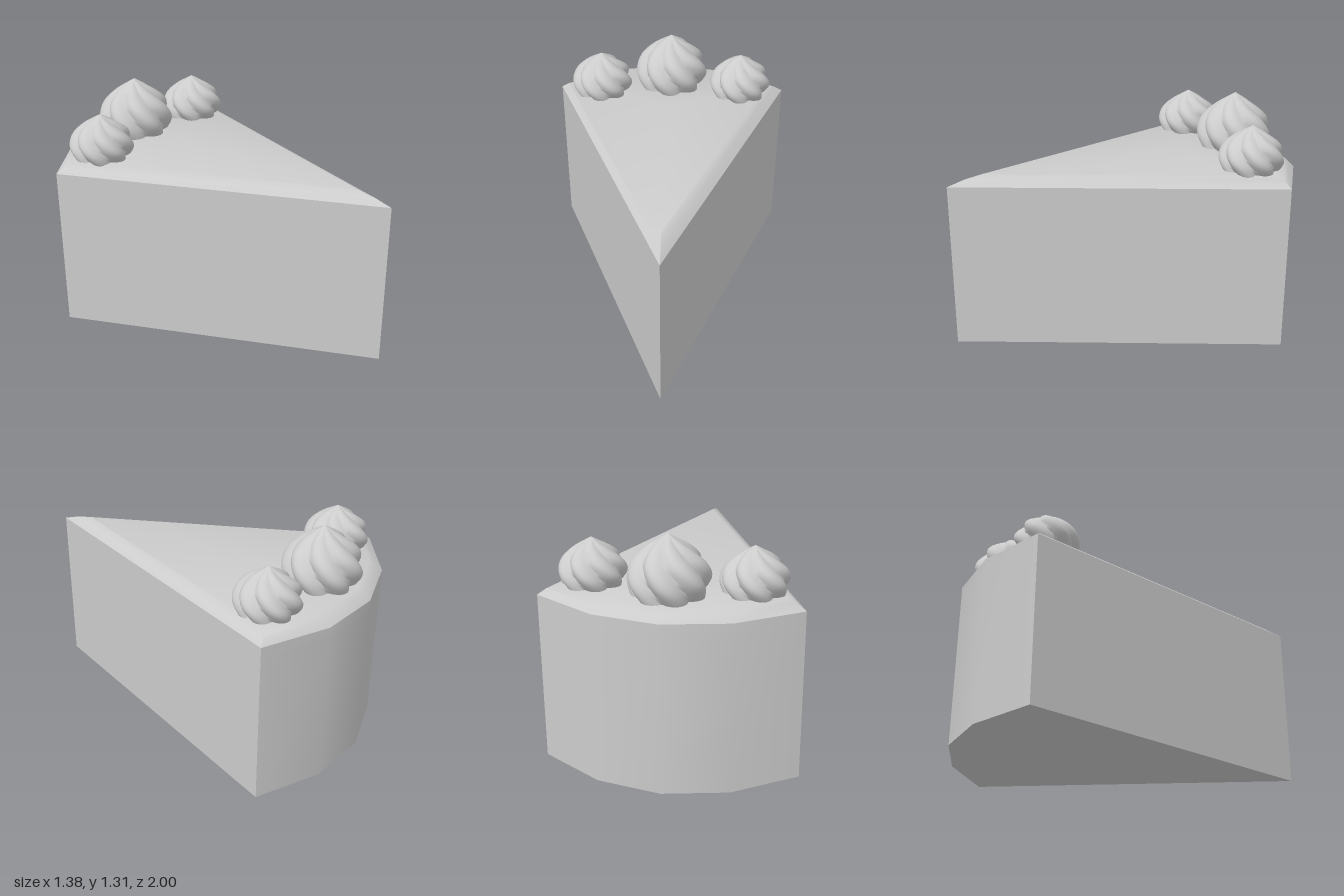
import * as THREE from 'three';
import { toCreasedNormals } from 'three/addons/utils/BufferGeometryUtils.js';

const material = new THREE.MeshStandardMaterial({ color: 0xcccccc });

// Plan of the slice as [x, z], counter-clockwise seen from above
const OUTLINE = [[0, 1], [0.69, -0.72], [0.35, -0.93], [0, -1], [-0.35, -0.93], [-0.69, -0.72]];

// Moves every edge of the outline inwards by d
function inset(d) {
  const n = OUTLINE.length;
  const normal = (a, b) => new THREE.Vector2(-(b[1] - a[1]), b[0] - a[0]).normalize();
  return OUTLINE.map((p, i) => {
    const n1 = normal(OUTLINE[(i + n - 1) % n], p);
    const n2 = normal(p, OUTLINE[(i + 1) % n]);
    const miter = n1.clone().add(n2).multiplyScalar(d / (1 + n1.dot(n2)));
    return [p[0] - miter.x, p[1] - miter.y];
  });
}

// Wedge: stacked outlines with a rounded top rim, closed by two fans
function sliceGeometry() {
  const rings = [[0, 0], [0, 0.87], [0, 0.945], [0.037, 0.977], [0.073, 0.996]];
  const n = OUTLINE.length;
  const positions = [], index = [];
  for (const [d, y] of rings) for (const [x, z] of inset(d)) positions.push(x, y, z);
  positions.push(0, 0, -0.4, 0, 1, -0.4);
  const bottom = rings.length * n, top = bottom + 1, last = (rings.length - 1) * n;
  for (let i = 0; i < n; i++) {
    const j = (i + 1) % n;
    for (let r = 0; r < rings.length - 1; r++) {
      const a = r * n + i, b = r * n + j;
      index.push(a, b, b + n, a, b + n, a + n);
    }
    index.push(bottom, j, i, top, last + i, last + j);
  }
  const geometry = new THREE.BufferGeometry();
  geometry.setAttribute('position', new THREE.Float32BufferAttribute(positions, 3));
  geometry.setIndex(index);
  return toCreasedNormals(geometry, 0.85);
}

// Piped cream: a lathed drop with seven lobes twisting towards the peak
function swirlGeometry(radius, height) {
  const curve = new THREE.SplineCurve([
    [0.88, 0], [1, 0.2], [1, 0.38], [0.86, 0.58], [0.55, 0.77], [0.25, 0.9], [0.001, 1],
  ].map(([r, y]) => new THREE.Vector2(r * radius, y * height)));
  const geometry = new THREE.LatheGeometry(curve.getPoints(18), 56);
  const pos = geometry.attributes.position;
  for (let i = 0; i < pos.count; i++) {
    const x = pos.getX(i), y = pos.getY(i), z = pos.getZ(i);
    const angle = Math.atan2(x, z) + 1.3 * (y / height);
    const lobe = 0.8 + 0.2 * Math.abs(Math.cos(3.5 * angle));
    pos.setXYZ(i, x * lobe, y, z * lobe);
  }
  geometry.deleteAttribute('normal');
  geometry.deleteAttribute('uv');
  return toCreasedNormals(geometry, 0.75);
}

export function createModel() {
  const model = new THREE.Group();
  model.name = 'cakeSlice';

  const cake = new THREE.Mesh(sliceGeometry(), material);
  cake.name = 'cake';
  model.add(cake);

  // Three cream swirls along the back
  const swirls = [
    ['creamCentre', 0, -0.72, 0.215, 0.325],
    ['creamLeft', 0.42, -0.615, 0.18, 0.25],
    ['creamRight', -0.42, -0.615, 0.18, 0.25],
  ];
  for (const [name, x, z, radius, height] of swirls) {
    const swirl = new THREE.Mesh(swirlGeometry(radius, height), material);
    swirl.name = name;
    swirl.position.set(x, 0.99, z);
    model.add(swirl);
  }
  return model;
}
